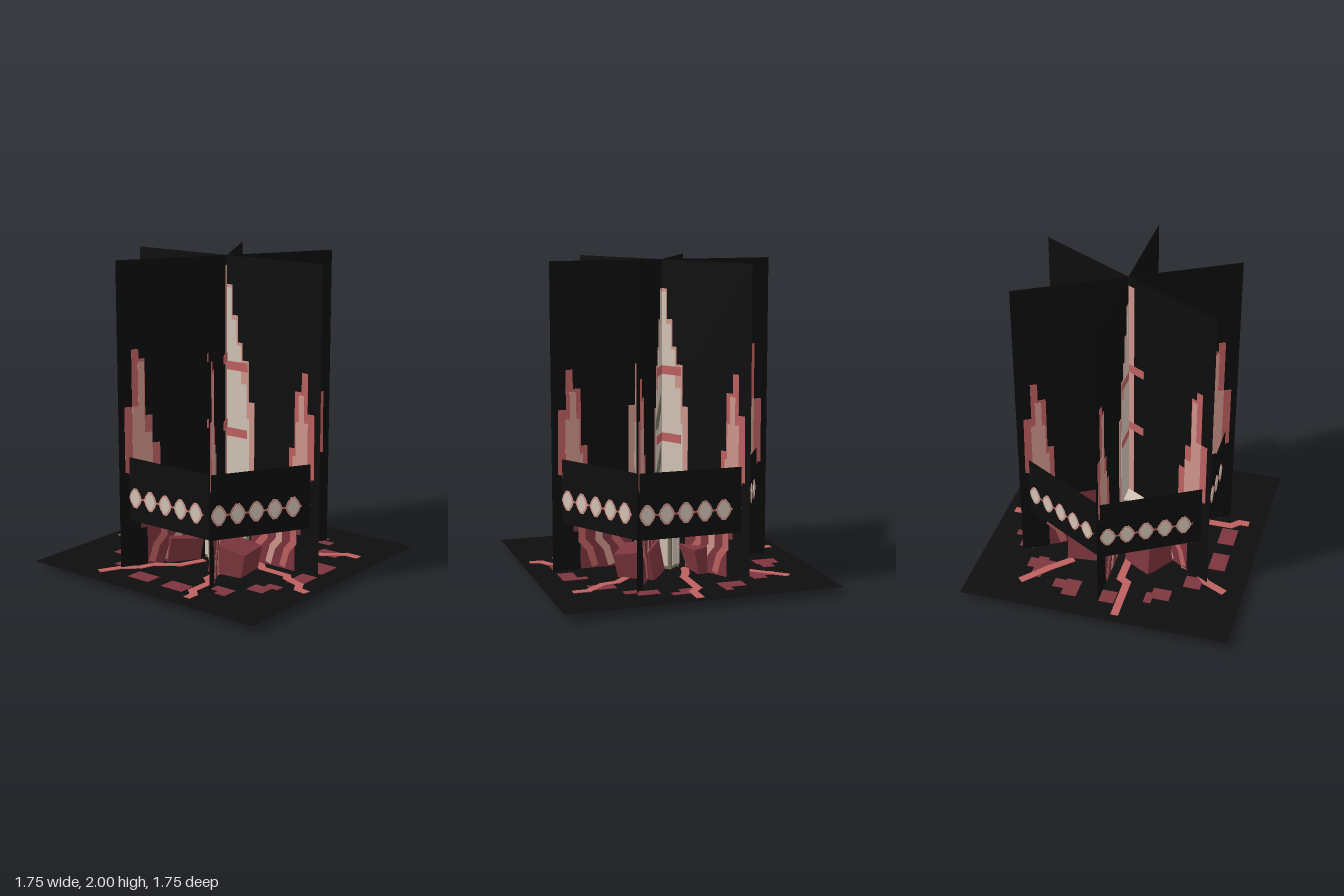
import * as THREE from 'three';

const mat = (name, color, both) => {
  const m = new THREE.MeshStandardMaterial({ color });
  m.name = name;
  if (both) m.side = THREE.DoubleSide;
  return m;
};

export function createModel() {
  const black = mat('black', 0x0d0d0d, true);
  const rose = mat('rose', 0xbe6060);
  const pale = mat('pale rose', 0xcf968c);
  const cream = mat('cream', 0xd2c4b6);
  const wine = mat('wine', 0x7c353d);
  const olive = mat('olive', 0x7a725e);

  const add = (parent, name, geo, m, x = 0, y = 0, z = 0) => {
    const mesh = new THREE.Mesh(geo, m);
    mesh.name = name;
    mesh.position.set(x, y, z);
    parent.add(mesh);
    return mesh;
  };
  const group = (parent, name) => {
    const g = new THREE.Group();
    g.name = name;
    parent.add(g);
    return g;
  };
  // Thin painted plate, showing on both sides of a sheet
  const poly = (parent, name, pts, t, m) => {
    const shape = new THREE.Shape(pts.map(p => new THREE.Vector2(p[0], p[1])));
    const geo = new THREE.ExtrudeGeometry(shape, { depth: t, bevelEnabled: false });
    return add(parent, name, geo.translate(0, 0, -t / 2), m);
  };
  const rect = (parent, name, x0, y0, x1, y1, t, m) =>
    add(parent, name, new THREE.BoxGeometry(x1 - x0, y1 - y0, t), m, (x0 + x1) / 2, (y0 + y1) / 2);
  // Painted line through several points
  const line = (parent, name, pts, w, t, m) => {
    for (let i = 1; i < pts.length; i++) {
      const [a, b] = [pts[i - 1], pts[i]];
      const dx = b[0] - a[0], dy = b[1] - a[1];
      const s = add(parent, name, new THREE.BoxGeometry(Math.hypot(dx, dy) + w * 0.6, w, t), m,
        (a[0] + b[0]) / 2, (a[1] + b[1]) / 2);
      s.rotation.z = Math.atan2(dy, dx);
    }
  };

  const root = new THREE.Group();
  root.name = 'crossedSheetTower';

  // Three crossed upright sheets
  const towerEdge = [[0, 0.3], [0.22, 0.3], [0.22, 1.09], [0.175, 1.09], [0.175, 1.35], [0.125, 1.35],
    [0.125, 1.46], [0.09, 1.46], [0.09, 1.63], [0.045, 1.63], [0.045, 1.82], [0, 1.82]];
  const towerCore = [[0, 0.3], [0.18, 0.3], [0.18, 0.98], [0.16, 0.98], [0.16, 1.2], [0.115, 1.2],
    [0.115, 1.44], [0.08, 1.44], [0.08, 1.6], [0.04, 1.6], [0.04, 1.8], [0, 1.8]];
  const flip = pts => pts.map(([x, y]) => [-x, y]);
  const paintTower = (g, f) => {
    poly(g, 'towerEdge', f(towerEdge), 0.004, pale);
    poly(g, 'towerCore', f(towerCore), 0.006, cream);
    for (const y of [0.85, 1.28]) {
      poly(g, 'towerBand', f([[0, y], [0.165, y], [0.165, y + 0.055], [0, y + 0.055]]), 0.008, rose);
    }
  };
  for (let i = 0; i < 3; i++) {
    const g = group(root, 'uprightSheet');
    g.rotation.y = i * Math.PI / 3;
    add(g, 'sheet', new THREE.PlaneGeometry(1.44, 1.95), black, 0, 1.025);
    paintTower(g, p => p);
    if (i === 0) paintTower(g, flip);
    else {
      rect(g, 'mast', -0.05, 0.3, 0, 1.94, 0.004, pale);
      for (const y of [0.91, 1.335]) rect(g, 'mastBar', -0.135, y, -0.01, y + 0.055, 0.008, rose);
    }
    // Side spires, the first one taller
    poly(g, 'tallSpire', [[-0.68, 0.67], [-0.66, 0.67], [-0.64, 0.6], [-0.45, 0.6], [-0.45, 0.85], [-0.5, 0.85],
      [-0.5, 1.03], [-0.545, 1.03], [-0.545, 1.39], [-0.585, 1.39], [-0.585, 1.45], [-0.63, 1.45],
      [-0.63, 1.09], [-0.68, 1.09]], 0.004, rose);
    poly(g, 'tallSpireLight', [[-0.63, 0.6], [-0.5, 0.6], [-0.5, 0.92], [-0.55, 0.92], [-0.55, 1.37],
      [-0.59, 1.37], [-0.59, 1.09], [-0.63, 1.09]], 0.007, pale);
    poly(g, 'shortSpire', [[0.68, 0.67], [0.66, 0.67], [0.64, 0.6], [0.49, 0.6], [0.49, 0.85], [0.53, 0.85],
      [0.53, 1.21], [0.58, 1.21], [0.58, 1.33], [0.625, 1.33], [0.625, 1.08], [0.675, 1.08]], 0.004, rose);
    poly(g, 'shortSpireLight', [[0.52, 0.6], [0.63, 0.6], [0.63, 1.02], [0.6, 1.02], [0.6, 1.19],
      [0.56, 1.19], [0.56, 1.02], [0.54, 1.02], [0.54, 0.8], [0.52, 0.8]], 0.007, pale);
    // Diagonally striped foundations
    for (const s of [-1, 1]) {
      const x = s < 0 ? -0.54 : 0.2;
      rect(g, 'foundation', x, 0.055, x + 0.34, 0.45, 0.004, wine);
      rect(g, 'foundationLip', s < 0 ? -0.585 : 0.53, 0.3, s < 0 ? -0.53 : 0.585, 0.45, 0.004, wine);
      for (let k = 0; k < 3; k++) {
        const a = x + 0.03 + k * 0.11;
        line(g, 'stripe', [[a, 0.08], [a + 0.03, 0.18], [a + 0.08, 0.24], [a + 0.08, 0.35]], 0.045, 0.006, k % 2 ? pale : rose);
      }
    }
  }
  // Dark ribbons winding over the rear of one tower
  const last = root.children[1];
  for (const y of [0.62, 0.95]) {
    poly(last, 'ribbon', [[0.04, y + 0.22], [0.2, y + 0.06], [0.2, y], [0.13, y], [0.04, y + 0.1]], 0.002, olive)
      .position.z = -0.0045;
  }

  // Six-sided band with a row of lozenges on each face
  const band = group(root, 'band');
  add(band, 'bandWall', new THREE.CylinderGeometry(0.655, 0.655, 0.41, 6, 1, true, Math.PI / 6), black, 0, 0.565)
    .geometry = new THREE.CylinderGeometry(0.655, 0.655, 0.41, 6, 1, true, Math.PI / 6).toNonIndexed();
  band.children[0].geometry.computeVertexNormals();
  const lozenge = (w, h) => [[-w, 0], [-w * 0.75, -h * 0.5], [-w * 0.25, -h], [w * 0.25, -h], [w * 0.75, -h * 0.5],
    [w, 0], [w * 0.75, h * 0.5], [w * 0.25, h], [-w * 0.25, h], [-w * 0.75, h * 0.5]];
  for (let i = 0; i < 6; i++) {
    const pivot = group(band, 'bandFace');
    pivot.rotation.y = i * Math.PI / 3;
    const face = group(pivot, 'lozenges');
    face.position.set(0, 0.512, 0.567);
    rect(face, 'thread', -0.3, -0.006, 0.27, 0.006, 0.004, rose);
    for (let k = 0; k < 5; k++) {
      const x = -0.277 + k * 0.122;
      poly(face, 'lozengeEdge', lozenge(0.052, 0.064), 0.006, pale).position.x = x;
      poly(face, 'lozenge', lozenge(0.038, 0.05), 0.009, cream).position.x = x;
    }
  }

  // Eight-pointed central pillar
  const pillar = group(root, 'pillar');
  add(pillar, 'pillarCore', new THREE.BoxGeometry(0.26, 0.37, 0.26), olive, 0, 0.23);
  add(pillar, 'pillarTurned', new THREE.BoxGeometry(0.26, 0.36, 0.26), olive, 0, 0.225).rotation.y = Math.PI / 4;
  add(pillar, 'pillarCap', new THREE.BoxGeometry(0.25, 0.008, 0.25), cream, 0, 0.419);
  for (let i = 0; i < 8; i++) {
    const side = group(pillar, 'pillarSide');
    side.rotation.y = i * Math.PI / 4;
    for (const s of [-1, 1]) add(side, 'pillarPanel', new THREE.BoxGeometry(0.1, 0.33, 0.006), cream, s * 0.06, 0.235, 0.13);
  }

  // Tilted blocks around the pillar
  for (const [x, z, yaw] of [[-0.22, -0.22, 8], [0.22, -0.22, -35], [-0.22, 0.21, -32], [0.23, 0.21, 8]]) {
    const b = add(root, 'block', new THREE.BoxGeometry(0.235, 0.2, 0.22), wine, x, 0.127, z);
    b.rotation.set(0, yaw * Math.PI / 180, -0.19, 'ZYX');
  }

  // Ground sheet with patches and cracks, given as x and z
  const ground = group(root, 'ground');
  ground.position.y = 0.05;
  ground.rotation.x = -Math.PI / 2;
  add(ground, 'groundSheet', new THREE.PlaneGeometry(1.745, 1.745), black);
  const patches = [
    [-0.25, -0.61, 0.16, 0.1], [-0.2, -0.65, 0.05, 0.14], [0.05, -0.66, 0.09, 0.1], [0.1, -0.69, 0.12, 0.05],
    [0.29, -0.62, 0.14, 0.08], [0.38, -0.58, 0.1, 0.06], [-0.5, -0.46, 0.2, 0.07], [-0.47, -0.46, 0.09, 0.17],
    [0.52, -0.42, 0.16, 0.1], [-0.64, -0.2, 0.15, 0.1], [-0.62, -0.24, 0.08, 0.17], [0.63, -0.2, 0.16, 0.05],
    [0.66, -0.14, 0.1, 0.16], [-0.66, 0.05, 0.11, 0.1], [0.66, 0.09, 0.11, 0.18], [-0.6, 0.3, 0.1, 0.05],
    [-0.55, 0.37, 0.1, 0.12], [0.6, 0.3, 0.1, 0.06], [0.55, 0.38, 0.12, 0.1], [-0.385, 0.54, 0.11, 0.11],
    [-0.14, 0.655, 0.165, 0.11], [0.13, 0.655, 0.165, 0.11], [0.39, 0.53, 0.14, 0.07], [0.42, 0.55, 0.08, 0.11]];
  for (const [x, z, w, d] of patches) rect(ground, 'patch', x - w / 2, -z - d / 2, x + w / 2, -z + d / 2, 0.005, wine);
  const cracks = [
    [[0.025, -0.8], [0.025, -0.68], [-0.025, -0.62], [-0.025, -0.37], [-0.06, -0.3], [-0.09, -0.2], [-0.19, -0.08]],
    [[0.7, -0.47], [0.62, -0.47], [0.5, -0.37], [0.4, -0.35], [0.3, -0.25]],
    [[-0.65, -0.53], [-0.5, -0.4], [-0.38, -0.28]],
    [[-0.8, 0.135], [-0.5, 0.13], [-0.47, 0.08], [-0.24, 0.08]],
    [[0.23, 0.02], [0.3, 0.03], [0.35, 0.08], [0.55, 0.09], [0.58, 0.13], [0.7, 0.17], [0.74, 0.24], [0.8, 0.25]],
    [[0.18, 0.33], [0.19, 0.43], [0.25, 0.48], [0.25, 0.65], [0.3, 0.7], [0.3, 0.75]],
    [[-0.42, 0.74], [-0.36, 0.62], [-0.27, 0.54], [-0.24, 0.45], [-0.1, 0.35], [-0.04, 0.2]]];
  for (const c of cracks) line(ground, 'crack', c.map(([x, z]) => [x, -z]), 0.05, 0.008, rose);

  return root;
}
